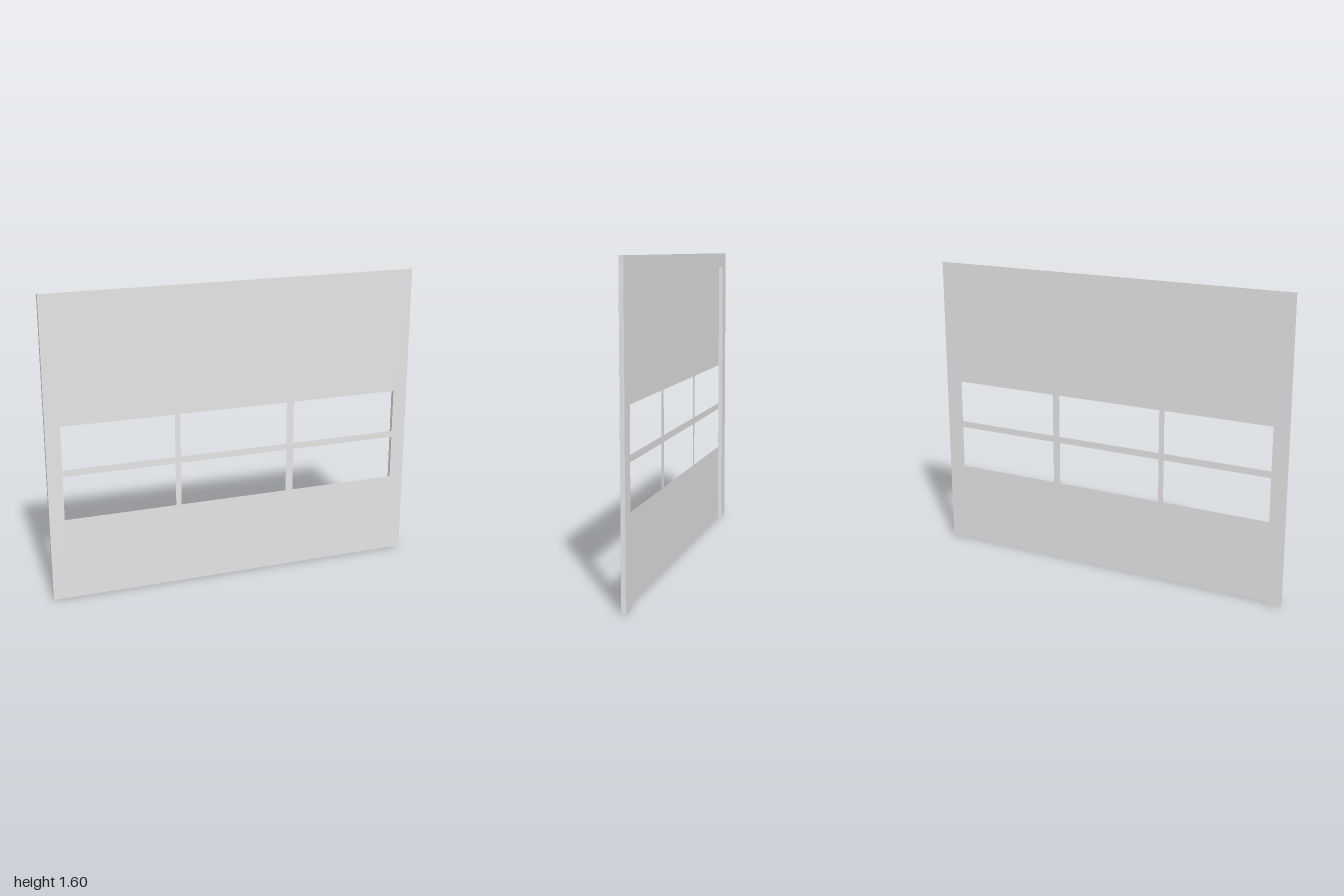
import * as THREE from 'three';

const FRONT = 0.009, BACK = -0.0135;

function polygon(path, points) {
  points.forEach(([x, y], i) => (i ? path.lineTo(x, y) : path.moveTo(x, y)));
  path.closePath();
  return path;
}

const rect = (x0, x1, y0, y1) => [[x0, y0], [x1, y0], [x1, y1], [x0, y1]];

export function createModel() {
  const group = new THREE.Group();
  group.name = 'doorPanel';
  const grey = new THREE.MeshStandardMaterial({ color: 0xe4e4e4, side: THREE.DoubleSide });
  grey.name = 'light grey';

  // Thin front sheet with two rows of three window openings
  const sheetShape = polygon(new THREE.Shape(), rect(-1, 1, 0, 1.6));
  for (const [x0, x1] of [[-0.922, -0.33], [-0.301, 0.29], [0.33, 0.922]]) {
    for (const [y0, y1] of [[0.435, 0.667], [0.702, 0.932]]) {
      sheetShape.holes.push(polygon(new THREE.Path(), rect(x0, x1, y0, y1)));
    }
  }
  const sheet = new THREE.Mesh(new THREE.ShapeGeometry(sheetShape), grey);
  sheet.name = 'frontSheet';
  sheet.position.z = FRONT;
  group.add(sheet);

  // Shallow frame behind the sheet: two jambs and a header, open at the bottom
  const frameShape = polygon(new THREE.Shape(), [
    [-1, 0], [-0.922, 0], [-0.922, 1.52], [0.922, 1.52],
    [0.922, 0], [1, 0], [1, 1.6], [-1, 1.6],
  ]);
  const frameGeometry = new THREE.ExtrudeGeometry(frameShape, {
    depth: FRONT - BACK - 0.0003, bevelEnabled: false,
  });
  const frame = new THREE.Mesh(frameGeometry, grey);
  frame.name = 'backFrame';
  frame.position.z = BACK;
  group.add(frame);

  return group;
}
